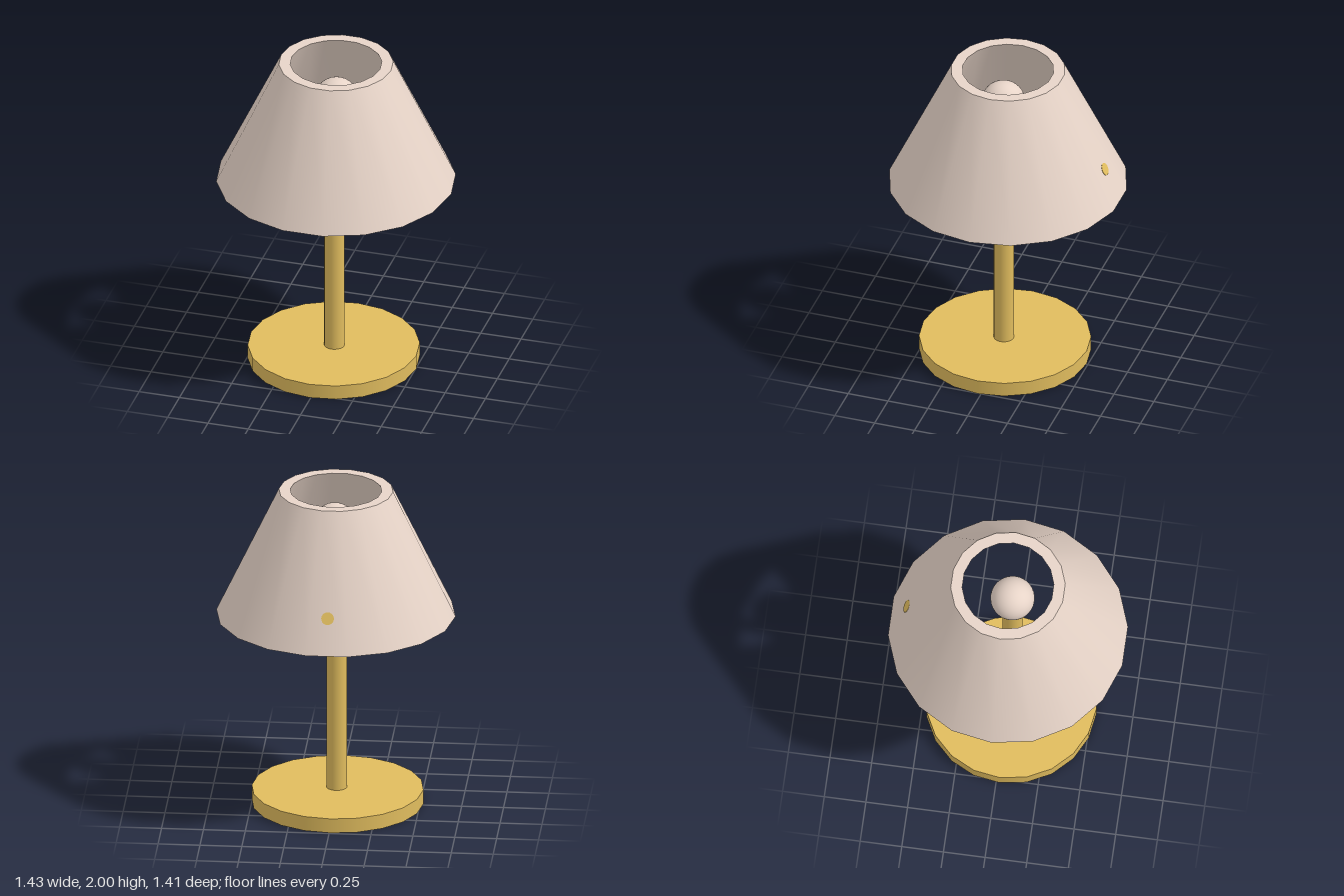
import * as THREE from 'three';
import { toCreasedNormals } from 'three/addons/utils/BufferGeometryUtils.js';

const brass = new THREE.MeshStandardMaterial({ color: 0xe0bc5e });
brass.name = 'brass';
const linen = new THREE.MeshStandardMaterial({ color: 0xe7d4c8 });
linen.name = 'linen';

export function createModel() {
  const lamp = new THREE.Group();
  lamp.name = 'tableLamp';

  const add = (name, geometry, material, x = 0, y = 0, z = 0) => {
    const mesh = new THREE.Mesh(geometry, material);
    mesh.name = name;
    mesh.position.set(x, y, z);
    lamp.add(mesh);
    return mesh;
  };

  // Straight round rod between two points
  const addRod = (name, from, to, radius) => {
    const a = new THREE.Vector3(...from);
    const b = new THREE.Vector3(...to);
    const rod = add(name, new THREE.CylinderGeometry(radius, radius, a.distanceTo(b), 20), brass);
    rod.position.copy(a).add(b).multiplyScalar(0.5);
    rod.quaternion.setFromUnitVectors(new THREE.Vector3(0, 1, 0), b.sub(a).normalize());
  };

  // Base disc and upright
  add('base', new THREE.CylinderGeometry(0.512, 0.512, 0.09, 20), brass, -0.008, 0.045, 0.021);
  addRod('pole', [-0.002, 0.08, 0.027], [-0.002, 1.68, 0.027], 0.061);

  // Arms holding the shade; the back one just pierces the wall
  addRod('backArm', [0, 1.11, -0.02], [0, 1.42, -0.61], 0.038);
  addRod('frontArm', [0, 1.133, 0.07], [0, 1.42, 0.595], 0.038);

  // Bulb
  add('bulb', new THREE.SphereGeometry(0.132, 32, 20), linen, 0.01, 1.77, 0.026);

  // Hollow shade with 18 sides: outer wall, top rim, inner wall, bottom rim
  const profile = [[0.714, 1.215], [0.341, 2], [0.273, 2], [0.655, 1.215], [0.714, 1.215]]
    .map(([r, y]) => new THREE.Vector2(r, y));
  const shade = new THREE.LatheGeometry(profile, 18, Math.PI / 2);
  add('shade', toCreasedNormals(shade, 0.7), linen);

  return lamp;
}
